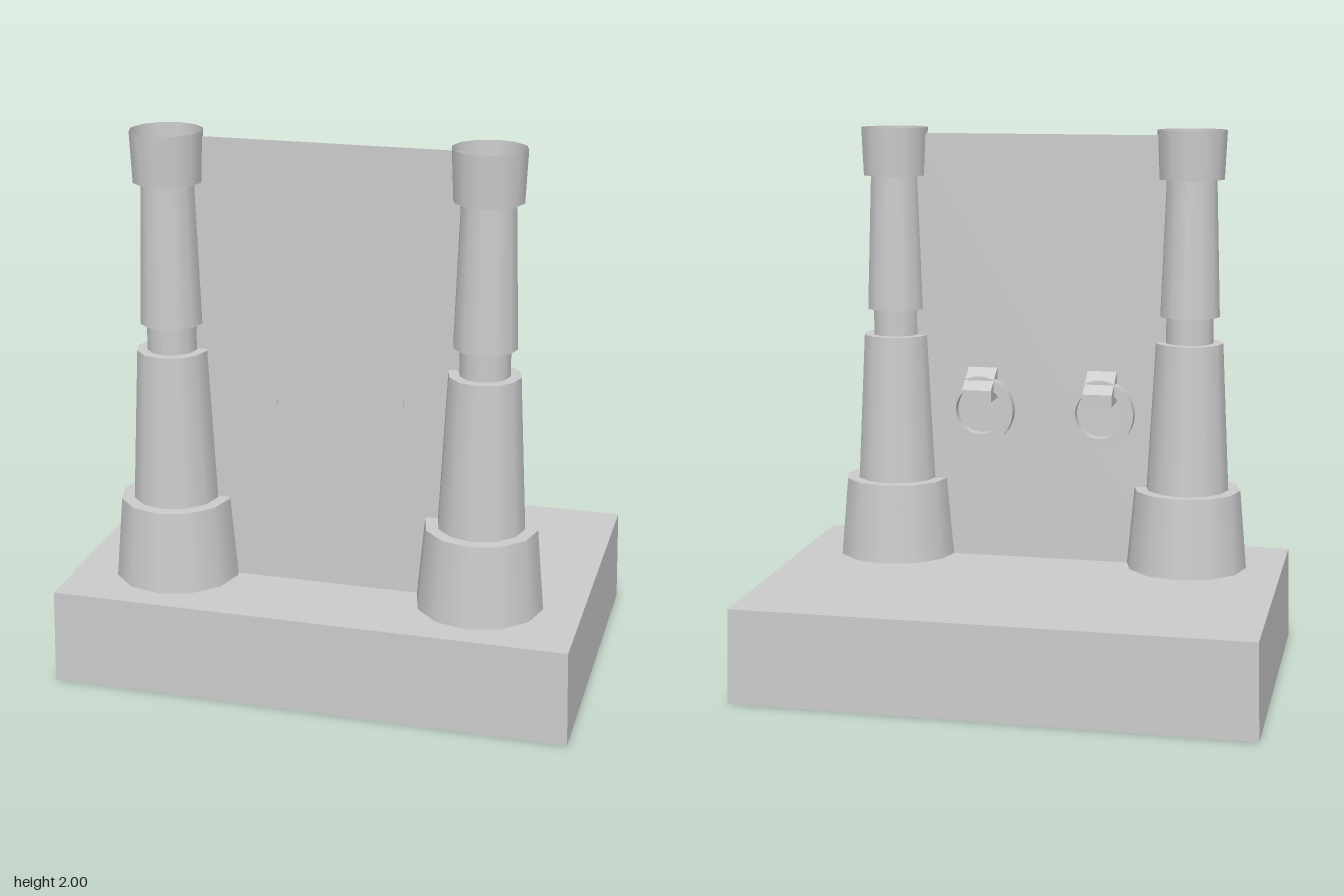
import * as THREE from 'three';

const grey = new THREE.MeshStandardMaterial({ color: 0xcccccc });
const greyDouble = new THREE.MeshStandardMaterial({ color: 0xcccccc, side: THREE.DoubleSide });
const SIDES = 12;

function part(name, geometry, material = grey) {
  const mesh = new THREE.Mesh(geometry, material);
  mesh.name = name;
  return mesh;
}

// Tapered round section standing between two heights
function section(name, rBottom, rTop, y0, y1, open = false) {
  const g = new THREE.CylinderGeometry(rTop, rBottom, y1 - y0, SIDES, 1, open);
  g.translate(0, (y0 + y1) / 2, 0);
  return part(name, g, open ? greyDouble : grey);
}

// Stepped column with an open cup on top
function makePillar(name, x) {
  const pillar = new THREE.Group();
  pillar.name = name;
  pillar.add(
    section('pillarFoot', 0.23, 0.203, 0.35, 0.65),
    section('lowerShaft', 0.157, 0.128, 0.65, 1.21),
    section('neck', 0.09, 0.09, 1.2, 1.32),
    section('upperShaft', 0.113, 0.095, 1.31, 1.82),
    section('cup', 0.122, 0.13, 1.82, 2, true)
  );
  const floor = part('cupFloor', new THREE.CircleGeometry(0.122, SIDES).rotateX(-Math.PI / 2), greyDouble);
  floor.rotation.y = Math.PI / 2;
  floor.position.y = 1.821;
  pillar.add(floor);
  pillar.position.set(x, 0, 0.305);
  return pillar;
}

// Ring hanging from a wedge-topped bracket on the back of the panel
function makeHandle(name, x) {
  const handle = new THREE.Group();
  handle.name = name;

  // Bracket side profile, drawn as (-z, y) and swept along x
  const profile = new THREE.Shape([
    [-0.289, 0.975], [-0.174, 0.975], [-0.174, 1.02], [-0.289, 1.092],
  ].map(([a, b]) => new THREE.Vector2(a, b)));
  const bracket = new THREE.ExtrudeGeometry(profile, { depth: 0.112, bevelEnabled: false });
  bracket.translate(0, 0, -0.056).rotateY(Math.PI / 2);
  handle.add(part('handleBracket', bracket));

  // Flat-faced ring
  const outline = new THREE.Shape().absarc(0, 0, 0.13, 0, Math.PI * 2);
  outline.holes.push(new THREE.Path().absarc(0, 0, 0.092, 0, Math.PI * 2, true));
  const ring = new THREE.ExtrudeGeometry(outline, { depth: 0.042, bevelEnabled: false, curveSegments: 16 });
  ring.translate(0, 0.935, 0.222);
  handle.add(part('handleRing', ring));

  handle.position.x = x;
  return handle;
}

export function createModel() {
  const model = new THREE.Group();
  model.name = 'gate';

  // Plinth, slightly narrower at the top
  const plinth = new THREE.BoxGeometry(1.89, 0.35, 1.255).translate(0, 0.175, 0);
  const p = plinth.attributes.position;
  for (let i = 0; i < p.count; i++) {
    if (p.getY(i) > 0.2) p.setX(i, Math.sign(p.getX(i)) * 0.936);
  }
  plinth.computeVertexNormals();
  model.add(part('plinth', plinth));

  // Thin wall between the pillars
  const wall = part('wallPanel', new THREE.PlaneGeometry(0.97, 1.63), greyDouble);
  wall.position.set(0, 1.165, 0.288);
  model.add(wall);

  model.add(makePillar('leftPillar', 0.565), makePillar('rightPillar', -0.57));
  model.add(makeHandle('leftHandle', 0.22), makeHandle('rightHandle', -0.243));
  return model;
}
